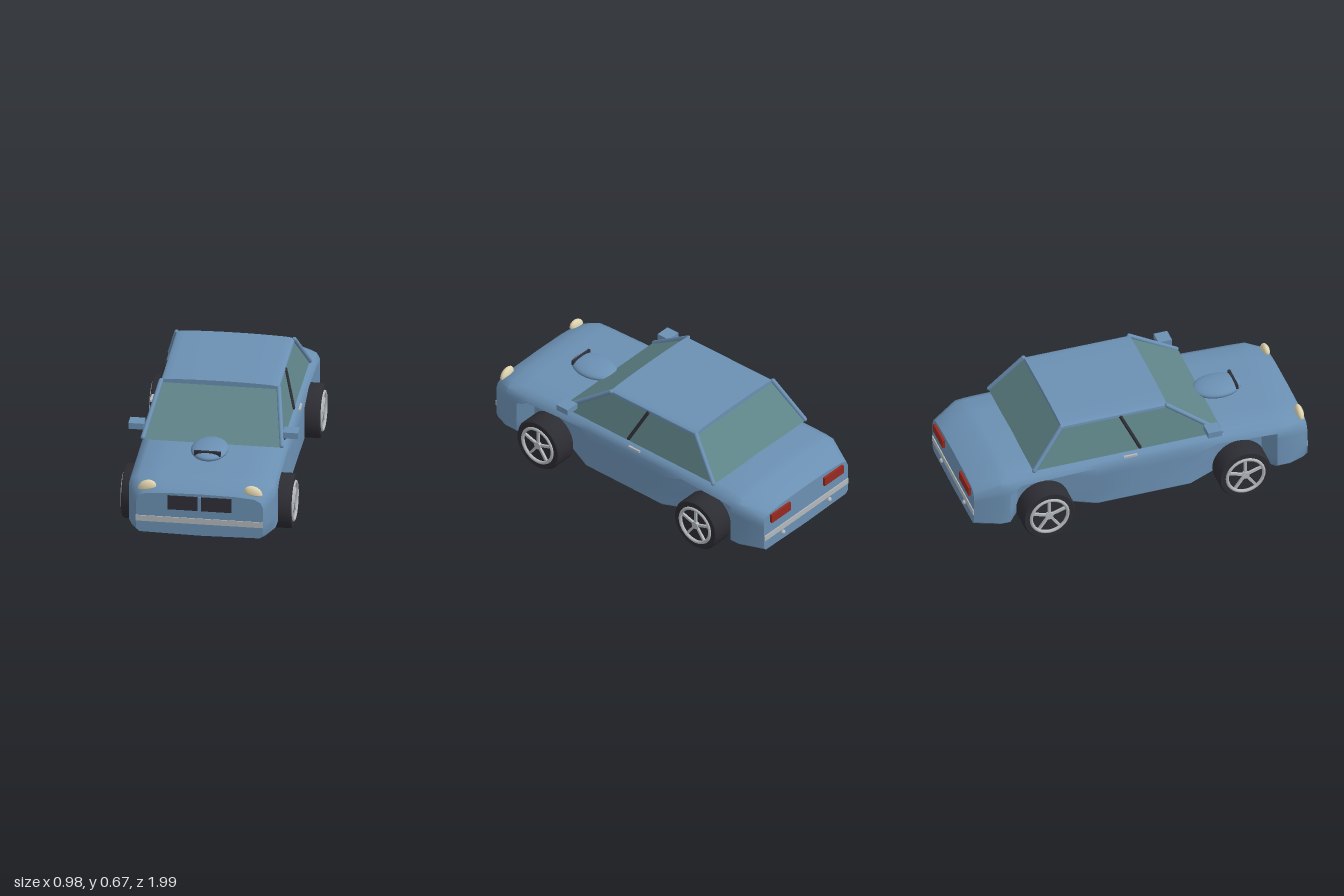
import * as THREE from 'three';
import { toCreasedNormals } from 'three/addons/utils/BufferGeometryUtils.js';

const mat = (name, color, side = THREE.FrontSide) => {
  const m = new THREE.MeshStandardMaterial({ color, side });
  m.name = name;
  return m;
};

export function createModel() {
  const car = new THREE.Group();
  car.name = 'car';
  const paint = mat('blue paint', 0x6b90b3);
  const glass = mat('tinted glass', 0x5f8488, THREE.DoubleSide);
  const dark = mat('dark trim', 0x2e2e37);
  const rubber = mat('tyre rubber', 0x2c2c33);
  const under = mat('underbody black', 0x1c1c20);
  const silver = mat('silver', 0xb4b8bb);
  const cream = mat('headlight cream', 0xded2ae);
  const red = mat('tail light red', 0x96291f);

  const add = (name, geo, material, x = 0, y = 0, z = 0, parent = car) => {
    const m = new THREE.Mesh(geo, material);
    m.name = name;
    m.position.set(x, y, z);
    parent.add(m);
    return m;
  };
  const box = (name, material, w, h, d, x, y, z, parent) =>
    add(name, new THREE.BoxGeometry(w, h, d), material, x, y, z, parent);
  const V = (x, y, z) => new THREE.Vector3(x, y, z);
  const rod = (name, a, b, r, material) => {
    const m = add(name, new THREE.CapsuleGeometry(r, a.distanceTo(b), 4, 12), material);
    m.position.copy(a).add(b).multiplyScalar(0.5);
    m.quaternion.setFromUnitVectors(V(0, 1, 0), b.clone().sub(a).normalize());
  };
  const quad = (name, corners, material) => {
    const g = new THREE.BufferGeometry().setFromPoints(corners);
    g.setIndex([0, 1, 2, 0, 2, 3]);
    g.computeVertexNormals();
    add(name, g, material);
  };

  // Body shell: cross-sections from nose to tail [z, half width, top, lower half width]
  const stations = [
    [0.985, 0.36, 0.357, 0.36], [0.95, 0.38, 0.385, 0.385], [0.87, 0.415, 0.408, 0.415],
    [0.79, 0.416, 0.413, 0.416], [0.72, 0.415, 0.416, 0.34], [0.44, 0.412, 0.428, 0.34],
    [0.28, 0.412, 0.43, 0.412], [0, 0.414, 0.432, 0.414], [-0.27, 0.416, 0.432, 0.416],
    [-0.43, 0.418, 0.431, 0.34], [-0.72, 0.422, 0.426, 0.34], [-0.79, 0.424, 0.422, 0.424],
    [-0.84, 0.423, 0.417, 0.423], [-0.985, 0.365, 0.355, 0.365],
  ];
  const pos = [], index = [];
  for (const [z, w, top, low] of stations) {
    const half = [
      [0, top], [w * 0.55, top - 0.003], [w * 0.86, top - 0.013], [w * 0.96, top - 0.032],
      [w, top - 0.065], [low, Math.min(0.31, top - 0.09)], [low, 0.2], [low, 0.125],
      [low - 0.02, 0.106], [0, 0.1],
    ];
    const ring = [...half, ...half.slice(1, -1).reverse().map(([x, y]) => [-x, y])];
    for (const [x, y] of ring) pos.push(x, y, z);
  }
  const n = 18, last = (stations.length - 1) * n, nose = stations.length * n;
  pos.push(0, 0.22, 0.985, 0, 0.22, -0.985);
  for (let i = 0; i < n; i++) {
    const j = (i + 1) % n;
    for (let s = 0; s < last; s += n)
      index.push(s + i, s + j, s + n + i, s + j, s + n + j, s + n + i);
    index.push(nose, j, i, nose + 1, last + i, last + j);
  }
  const shell = new THREE.BufferGeometry();
  shell.setAttribute('position', new THREE.Float32BufferAttribute(pos, 3));
  shell.setIndex(index);
  add('body', toCreasedNormals(shell, 0.75), paint);
  box('underbody', under, 0.58, 0.03, 1.67, 0, 0.095, 0.005);

  // Roof panel with a gentle crown
  const roof = new THREE.Shape();
  roof.moveTo(-0.335, 0.634);
  roof.lineTo(0.335, 0.634);
  roof.lineTo(0.333, 0.648);
  roof.quadraticCurveTo(0.325, 0.658, 0.28, 0.661);
  roof.quadraticCurveTo(0, 0.673, -0.28, 0.661);
  roof.quadraticCurveTo(-0.325, 0.658, -0.333, 0.648);
  roof.closePath();
  const roofGeo = new THREE.ExtrudeGeometry(roof, { depth: 0.625, bevelEnabled: false, curveSegments: 8 });
  add('roof', toCreasedNormals(roofGeo, 0.6), paint, 0, 0, -0.46);

  // Windows
  const fb = s => V(s * 0.39, 0.428, 0.475), ft = s => V(s * 0.328, 0.638, 0.165);
  const rb = s => V(s * 0.393, 0.425, -0.645), rt = s => V(s * 0.328, 0.638, -0.46);
  quad('windshield', [fb(-1), fb(1), ft(1), ft(-1)], glass);
  quad('rearWindow', [rb(1), rb(-1), rt(-1), rt(1)], glass);

  for (const s of [1, -1]) {
    const side = s > 0 ? 'left' : 'right';
    quad(side + 'SideWindow', s > 0 ? [fb(s), rb(s), rt(s), ft(s)] : [rb(s), fb(s), ft(s), rt(s)], glass);

    // Roof pillars
    rod(side + 'FrontPillar', V(s * 0.393, 0.435, 0.465), V(s * 0.333, 0.648, 0.165), 0.013, paint);
    rod(side + 'RearPillar', V(s * 0.396, 0.43, -0.64), V(s * 0.333, 0.648, -0.46), 0.013, paint);
    rod(side + 'MiddlePillar', V(s * 0.391, 0.44, -0.015), V(s * 0.333, 0.632, -0.108), 0.01, dark);

    // Mirrors and door handles
    box(side + 'Mirror', paint, 0.085, 0.036, 0.08, s * 0.437, 0.488, 0.4);
    const stem = new THREE.Shape([
      new THREE.Vector2(s * 0.385, 0.472), new THREE.Vector2(s * 0.395, 0.445), new THREE.Vector2(s * 0.432, 0.472),
    ]);
    add(side + 'MirrorStem', new THREE.ExtrudeGeometry(stem, { depth: 0.02, bevelEnabled: false }), dark, 0, 0, 0.395);
    box(side + 'DoorHandle', silver, 0.012, 0.012, 0.08, s * 0.42, 0.413, -0.08);

    // Headlights: domes with a slanted lower edge
    const lamp = new THREE.SphereGeometry(1, 24, 16);
    const p = lamp.attributes.position;
    for (let i = 0; i < p.count; i++) {
      const x = p.getX(i), y = p.getY(i);
      p.setXYZ(i, s * x * 0.052, y > 0 ? y * 0.043 - x * 0.009 : y * 0.014 - x * 0.009, s * p.getZ(i) * 0.024);
    }
    lamp.computeVertexNormals();
    add(side + 'Headlight', lamp, cream, s * 0.3, 0.371, 0.957);

    // Grille halves, tail lights and rear sensors
    box(side + 'Grille', dark, 0.171, 0.085, 0.012, s * 0.0945, 0.298, 0.985);
    box(side + 'TailLight', red, 0.165, 0.052, 0.03, s * 0.228, 0.303, -0.985);
    add(side + 'RearSensor', new THREE.SphereGeometry(0.015, 16, 12), silver, s * 0.2, 0.148, -0.985);
  }
  box('grilleDivider', paint, 0.018, 0.085, 0.014, 0, 0.298, 0.986);
  box('frontBumper', silver, 0.72, 0.034, 0.01, 0, 0.19, 0.985);
  box('rearBumper', silver, 0.72, 0.034, 0.012, 0, 0.19, -0.985);

  // Bonnet scoop
  const scoop = add('bonnetScoop', new THREE.SphereGeometry(1, 32, 20), paint, 0, 0.44, 0.57);
  scoop.scale.set(0.105, 0.037, 0.142);
  box('scoopIntake', dark, 0.15, 0.028, 0.014, 0, 0.459, 0.668);

  // Wheels: local +y of the tyre points outwards
  const profile = [
    [0, -0.0675], [0.147, -0.0675], [0.155, -0.058], [0.155, 0.054], [0.147, 0.0675],
    [0.112, 0.0675], [0.108, 0.052], [0, 0.052],
  ].map(([r, y]) => new THREE.Vector2(r, y));
  const tyreGeo = toCreasedNormals(new THREE.LatheGeometry(profile, 40), 0.6);
  const rimGeo = new THREE.TorusGeometry(0.108, 0.01, 8, 40);
  for (const [z, end] of [[0.58, 'front'], [-0.578, 'rear']]) {
    for (const s of [1, -1]) {
      const wheel = new THREE.Group();
      wheel.name = end + (s > 0 ? 'Left' : 'Right') + 'Wheel';
      wheel.position.set(s * 0.4125, 0.155, z);
      wheel.rotation.y = s > 0 ? 0 : Math.PI;
      car.add(wheel);
      add('tyre', tyreGeo, rubber, 0, 0, 0, wheel).rotation.z = -Math.PI / 2;
      add('rim', rimGeo, silver, 0.067, 0, 0, wheel).rotation.y = Math.PI / 2;
      const hub = add('hub', new THREE.CylinderGeometry(0.022, 0.022, 0.02, 20), silver, 0.061, 0, 0, wheel);
      hub.rotation.z = -Math.PI / 2;
      for (let k = 0; k < 5; k++) {
        const a = k * Math.PI * 0.4;
        const spoke = box('spoke', silver, 0.014, 0.1, 0.014, 0.06, Math.cos(a) * 0.058, Math.sin(a) * 0.058, wheel);
        spoke.rotation.x = a;
      }
    }
  }
  return car;
}
